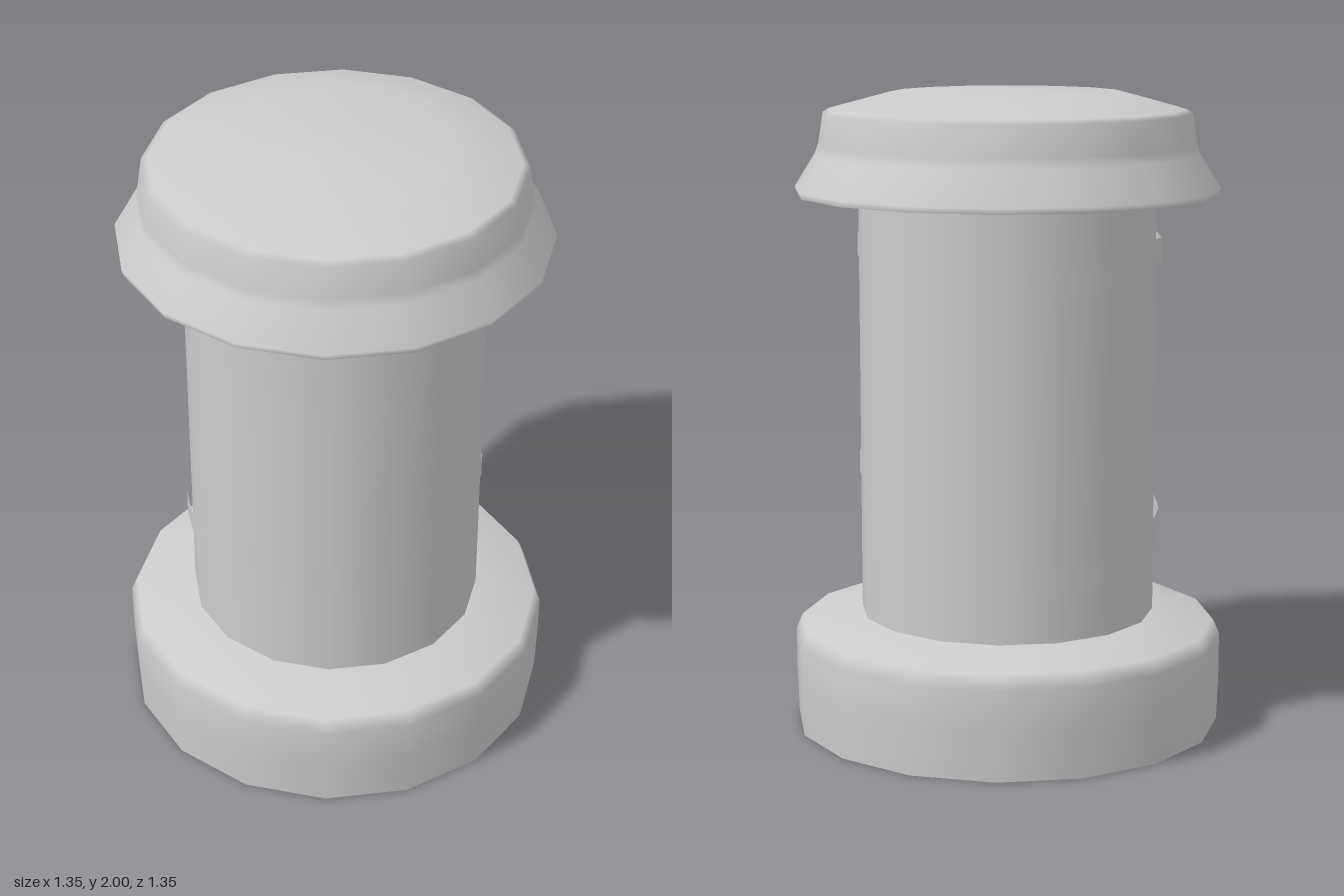
import * as THREE from 'three';

const SIDES = 16;
const material = new THREE.MeshStandardMaterial({ color: 0xcccccc });
const bandMaterial = new THREE.MeshStandardMaterial({ color: 0xcccccc, side: THREE.DoubleSide });

// Turned part; a repeated profile point makes a sharp edge
function turned(name, profile) {
  const points = profile.map(([r, y]) => new THREE.Vector2(r, y));
  const mesh = new THREE.Mesh(new THREE.LatheGeometry(points, SIDES), material);
  mesh.name = name;
  return mesh;
}

// Thin wavy band wrapped round the column; heights run from the front towards +x
function wavyBand(name, heights) {
  const geometry = new THREE.CylinderGeometry(0.472, 0.472, 0.075, SIDES, 1, true);
  const pos = geometry.attributes.position;
  for (let i = 0; i < pos.count; i++) {
    pos.setY(i, pos.getY(i) + heights[i % (SIDES + 1) % SIDES]);
  }
  const mesh = new THREE.Mesh(geometry, bandMaterial);
  mesh.name = name;
  mesh.position.set(-0.008, 0, -0.002);
  return mesh;
}

export function createModel() {
  const group = new THREE.Group();
  group.name = 'spool';

  // Wide foot with a bevelled shoulder
  group.add(turned('base', [
    [0, 0], [0.67, 0], [0.67, 0], [0.675, 0.15], [0.675, 0.28], [0.655, 0.325],
    [0.46, 0.36], [0.46, 0.36], [0, 0.36],
  ]));

  // Straight shaft
  group.add(turned('column', [[0.462, 0.34], [0.462, 1.69]]));

  // Domed cap with a flared rim
  group.add(turned('cap', [
    [0, 1.665], [0.46, 1.665], [0.655, 1.677], [0.655, 1.677], [0.66, 1.695],
    [0.595, 1.80], [0.585, 1.83], [0.57, 1.925], [0.55, 1.937], [0.36, 1.988], [0, 2],
  ]));

  // Bands
  group.add(wavyBand('upperBand', [
    1.455, 1.415, 1.41, 1.46, 1.52, 1.52, 1.515, 1.515,
    1.515, 1.48, 1.445, 1.46, 1.515, 1.505, 1.53, 1.515,
  ]));
  group.add(wavyBand('lowerBand', [
    0.76, 0.72, 0.705, 0.75, 0.80, 0.83, 0.83, 0.74,
    0.645, 0.58, 0.55, 0.56, 0.60, 0.65, 0.71, 0.72,
  ]));

  return group;
}
